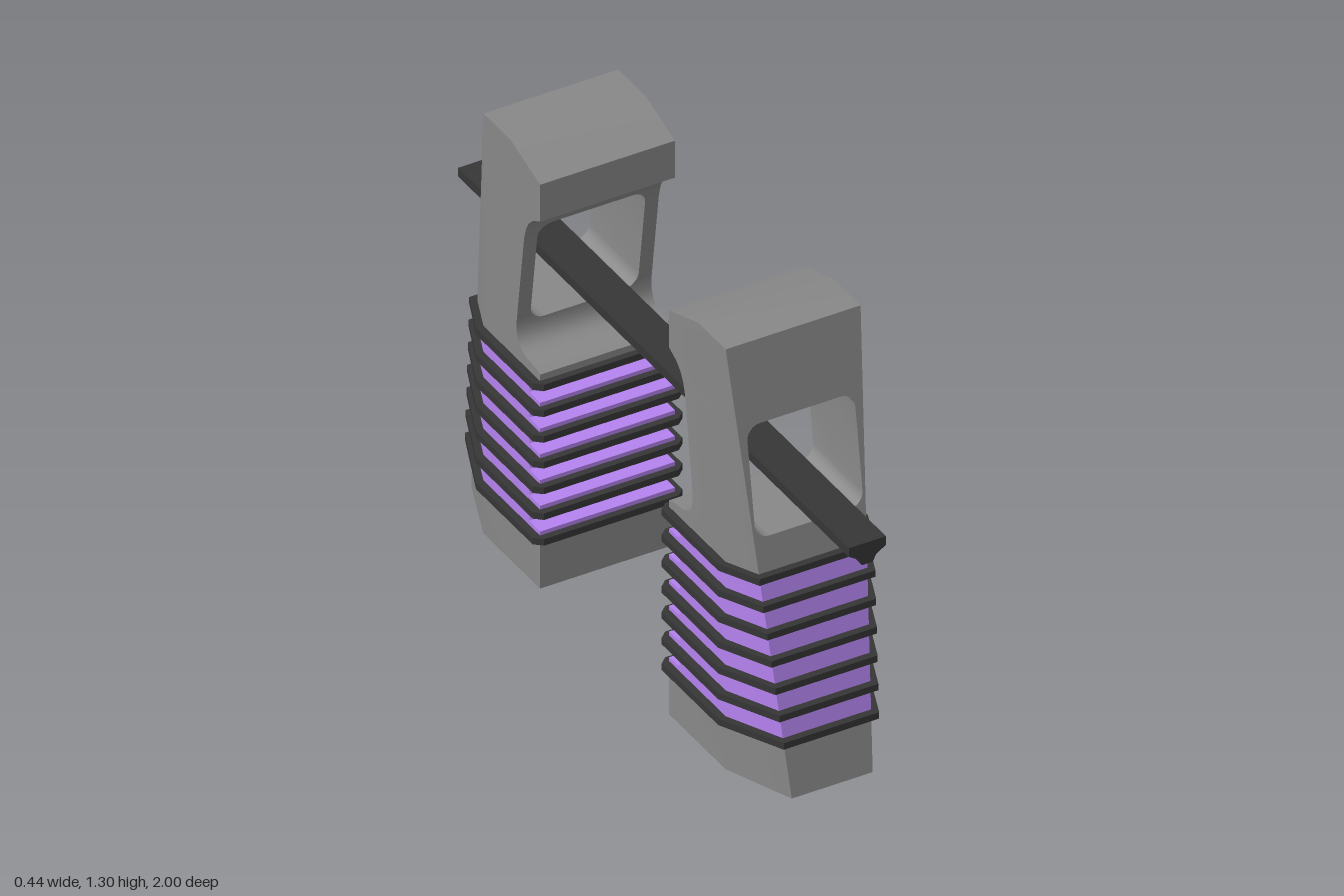
import * as THREE from 'three';
import { toCreasedNormals } from 'three/addons/utils/BufferGeometryUtils.js';

const H = 1.305, HALF = 0.2, Z_SIDE = 0.62, Z_IN = 0.33;
const HOLE = { x: 0.16, y0: 0.75, y1: 1.07, r: 0.04 };

const material = (color) => new THREE.MeshStandardMaterial({ color });

// Inner (z) outline of the pylon, as [y, z]
const inner = [
  [0, 0.33], [0.665, 0.33], [0.672, 0.35], [0.677, 0.4], [0.686, 0.425], [0.702, 0.442],
  [0.73, 0.45], [0.76, 0.45], [0.9, 0.431], [1.04, 0.412], [1.075, 0.402], [1.1, 0.388],
  [1.12, 0.368], [1.131, 0.348], [1.14, 0.33], [1.255, 0.33], [H, 0.48],
];
function innerZ(y) {
  for (let i = 1; i < inner.length; i++) {
    const [ya, za] = inner[i - 1], [yb, zb] = inner[i];
    if (y <= yb) return za + (zb - za) * (y - ya) / (yb - ya);
  }
  return inner[inner.length - 1][1];
}
// Sloping outer face, and its half width where it meets the corner cuts
const outerZ = (y) => 0.82 - 0.2 * y / H;
const outerX = (y) => HALF - 0.4 * (outerZ(y) - Z_SIDE);

// Skin a stack of convex sections (points clockwise from above), with end caps
function loft(rows, crease = 0.6) {
  const pos = [];
  const tri = (...pts) => pts.forEach((p) => pos.push(...p));
  const n = rows[0].length;
  for (let r = 0; r + 1 < rows.length; r++) {
    for (let i = 0; i < n; i++) {
      const j = (i + 1) % n, lo = rows[r], hi = rows[r + 1];
      tri(lo[i], hi[i], hi[j]);
      tri(lo[i], hi[j], lo[j]);
    }
  }
  const bottom = rows[0], top = rows[rows.length - 1];
  for (let i = 1; i + 1 < n; i++) {
    tri(bottom[0], bottom[i], bottom[i + 1]);
    tri(top[0], top[i + 1], top[i]);
  }
  const g = new THREE.BufferGeometry();
  g.setAttribute('position', new THREE.Float32BufferAttribute(pos, 3));
  g.computeVertexNormals();
  return toCreasedNormals(g, crease);
}

// Six-sided section of the full body
function section(y, zi = innerZ(y)) {
  const x = outerX(y), z = outerZ(y);
  return [[HALF, y, Z_SIDE], [x, y, z], [-x, y, z], [-HALF, y, Z_SIDE], [-HALF, y, zi], [HALF, y, zi]];
}

// Heights of all rows between two levels
function levels(y0, y1, extra = []) {
  const ys = [...inner.map((p) => p[0]), ...extra].filter((y) => y > y0 + 1e-4 && y < y1 - 1e-4);
  return [y0, ...ys.sort((a, b) => a - b), y1];
}
const block = (y0, y1) => loft(levels(y0, y1).map((y) => section(y)));

// Upright beside the window, with rounded window corners
function post(side) {
  const { x, y0, y1, r } = HOLE;
  const arc = [];
  for (let i = 1; i <= 6; i++) {
    const d = r * (1 - Math.cos(i / 6 * Math.PI / 2));
    arc.push(y0 + d, y1 - d);
  }
  const rows = levels(y0, y1, arc).map((y) => {
    const d = Math.max(0, y0 + r - y, y - (y1 - r));
    const xi = x - r + Math.sqrt(Math.max(0, r * r - d * d));
    const pts = [[xi, y, innerZ(y)], [HALF, y, innerZ(y)], [HALF, y, Z_SIDE],
      [outerX(y), y, outerZ(y)], [xi, y, outerZ(y)]];
    return side > 0 ? pts : pts.map(([px, py, pz]) => [-px, py, pz]).reverse();
  });
  return loft(rows);
}

const RIB_Y = 0.155, PITCH = 0.08, RIBS = 7;

// Coloured grip with a finger groove between each pair of ribs
function grip() {
  const groove = [[0.022, Z_IN], [0.023, 0.375], [0.026, 0.382], [0.031, 0.385],
    [0.049, 0.385], [0.054, 0.382], [0.057, 0.375], [0.058, Z_IN]];
  const rows = [section(RIB_Y, Z_IN)];
  for (let i = 0; i < RIBS - 1; i++) {
    for (const [dy, z] of groove) rows.push(section(RIB_Y + i * PITCH + dy, z));
  }
  rows.push(section(RIB_Y + (RIBS - 1) * PITCH, Z_IN));
  return loft(rows);
}

// Thin overhanging plate whose outer end lifts slightly
function rib(y) {
  const x = outerX(y) + 0.012, z = outerZ(y) + 0.02, w = 0.222;
  const lift = (z - Z_SIDE) * 0.06;
  return loft([-0.01, 0.01].map((d) => {
    const b = y + d;
    return [[w, b, Z_SIDE], [x, b + lift, z], [-x, b + lift, z], [-w, b, Z_SIDE],
      [-w, b, 0.33], [-0.2, b, 0.31], [0.2, b, 0.31], [w, b, 0.33]];
  }), 0.03);
}

export function createModel() {
  const model = new THREE.Group();
  model.name = 'railOnTwoPylons';
  const grey = material(0x888888), dark = material(0x363636), purple = material(0xb583f0);
  const add = (parent, name, geometry, mat) => {
    const mesh = new THREE.Mesh(geometry, mat);
    mesh.name = name;
    parent.add(mesh);
  };

  // Pylons face away from each other
  const gripTop = RIB_Y + (RIBS - 1) * PITCH;
  for (const [name, turn] of [['frontPylon', 0], ['backPylon', Math.PI]]) {
    const pylon = new THREE.Group();
    pylon.name = name;
    pylon.rotation.y = turn;
    add(pylon, 'foot', block(0, RIB_Y), grey);
    add(pylon, 'grip', grip(), purple);
    for (let i = 0; i < RIBS; i++) add(pylon, 'rib', rib(RIB_Y + i * PITCH), dark);
    add(pylon, 'neck', block(gripTop, HOLE.y0), grey);
    add(pylon, 'leftPost', post(1), grey);
    add(pylon, 'rightPost', post(-1), grey);
    add(pylon, 'head', block(HOLE.y1, H), grey);
    model.add(pylon);
  }

  // Rail running through both windows
  const half = [[0.055, 0.862], [0.055, 0.835], [0.026, 0.817], [0.016, 0.796]];
  const outline = [...half, ...half.map(([x, y]) => [-x, y]).reverse()];
  const shape = new THREE.Shape(outline.map(([x, y]) => new THREE.Vector2(x, y)));
  const rail = new THREE.ExtrudeGeometry(shape, { depth: 2, bevelEnabled: false });
  rail.translate(0, 0, -1);
  add(model, 'rail', rail, dark);

  return model;
}
